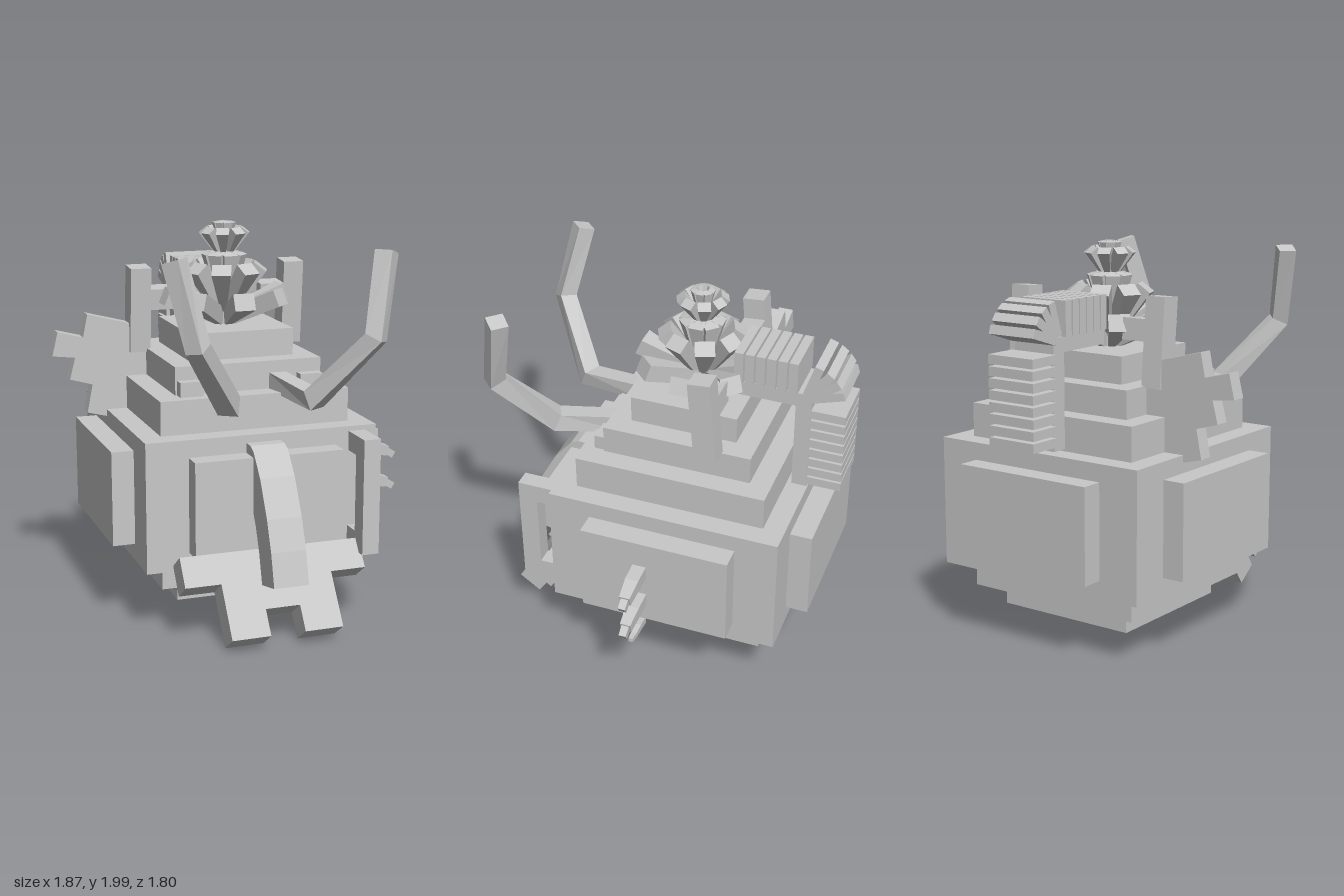
import * as THREE from 'three';

const CX = -0.04, CZ = -0.11; // centre of the stepped body

export function createModel() {
  const model = new THREE.Group();
  const stone = new THREE.MeshStandardMaterial({ color: 0xc8c8c8 });
  stone.name = 'grey stone';

  const add = (name, geometry, parent = model) => {
    const mesh = new THREE.Mesh(geometry, stone);
    mesh.name = name;
    parent.add(mesh);
    return mesh;
  };
  const group = (name) => {
    const g = new THREE.Group();
    g.name = name;
    model.add(g);
    return g;
  };
  const box = (name, x0, x1, y0, y1, z0, z1, parent) =>
    add(name, new THREE.BoxGeometry(x1 - x0, y1 - y0, z1 - z0)
      .translate((x0 + x1) / 2, (y0 + y1) / 2, (z0 + z1) / 2), parent);

  // Flat-sided beam through points; stations are { p, s: side direction, w, h }
  const beam = (stations) => {
    const pts = stations.map((q) => new THREE.Vector3(...q.p));
    const rings = stations.map((q, i) => {
      const t = pts[Math.min(i + 1, pts.length - 1)].clone().sub(pts[Math.max(i - 1, 0)]).normalize();
      const s = new THREE.Vector3(...q.s);
      s.addScaledVector(t, -s.dot(t)).normalize();
      const n = t.clone().cross(s);
      return [[-1, -1], [1, -1], [1, 1], [-1, 1]].map(([a, b]) =>
        pts[i].clone().addScaledVector(s, a * q.w / 2).addScaledVector(n, b * q.h / 2));
    });
    const out = [];
    const quad = (a, b, c, d) => [a, b, c, a, c, d].forEach((v) => out.push(v.x, v.y, v.z));
    for (let r = 0; r < rings.length - 1; r++) {
      for (let i = 0; i < 4; i++) {
        const j = (i + 1) % 4;
        quad(rings[r][i], rings[r][j], rings[r + 1][j], rings[r + 1][i]);
      }
    }
    const a = rings[0], b = rings[rings.length - 1];
    quad(a[0], a[3], a[2], a[1]);
    quad(b[0], b[1], b[2], b[3]);
    const g = new THREE.BufferGeometry();
    g.setAttribute('position', new THREE.Float32BufferAttribute(out, 3));
    g.computeVertexNormals();
    return g;
  };

  // Extruded outline, depth along +z before placing
  const plate = (points, depth) => new THREE.ExtrudeGeometry(
    new THREE.Shape(points.map(([x, y]) => new THREE.Vector2(x, y))),
    { depth, bevelEnabled: false });

  // Stepped body: half width, bottom, top
  const body = group('body');
  [[0.39, 0.09, 0.2], [0.5, 0.2, 0.33], [0.61, 0.33, 1.0], [0.5, 1.0, 1.175],
    [0.39, 1.175, 1.32], [0.28, 1.32, 1.46]].forEach(([r, y0, y1], i) =>
    box('bodyTier' + (i + 1), CX - r, CX + r, y0, y1, CZ - r, CZ + r, body));
  box('sidePanels', CX - 0.725, CX + 0.725, 0.42, 0.91, CZ - 0.39, CZ + 0.39, body);
  box('frontAndBackPanels', CX - 0.39, CX + 0.39, 0.42, 0.91, CZ - 0.725, CZ + 0.715, body);

  // Door handle on the front
  const handle = group('handle');
  box('handleBar', 0.42, 0.51, 0.375, 0.975, 0.6, 0.7, handle);
  box('handleLowerArm', 0.42, 0.51, 0.375, 0.475, 0.48, 0.6, handle);
  box('handleUpperArm', 0.42, 0.51, 0.875, 0.975, 0.48, 0.6, handle);

  // Curved nose
  const nose = plate([[0.5, 0.96], [0.56, 0.96], [0.605, 0.94], [0.7, 0.83], [0.8, 0.65],
    [0.86, 0.5], [0.905, 0.335], [0.735, 0.295], [0.69, 0.45], [0.64, 0.57], [0.56, 0.7], [0.5, 0.78]], 0.18);
  nose.rotateY(-Math.PI / 2).translate(CX + 0.09, 0, 0);
  add('nose', nose);

  // Sloping lower jaw with two teeth
  const jaw = plate([[-0.475, 0], [-0.475, -0.158], [-0.29, -0.158], [-0.29, -0.444], [-0.09, -0.444],
    [-0.09, -0.308], [0.09, -0.308], [0.09, -0.444], [0.29, -0.444], [0.29, -0.158],
    [0.475, -0.158], [0.475, 0]], 0.138);
  jaw.translate(0, 0, -0.138).rotateX(-Math.atan2(0.26, 0.36)).translate(CX, 0.44, 0.61);
  add('jaw', jaw);

  // Mirrored horns, brow blocks and back posts
  for (const m of [1, -1]) {
    const side = m > 0 ? 'left' : 'right';
    const station = (x, y, z, sz, w) => ({ p: [CX + m * x, y, z], s: [1, 0, -m * sz], w, h: w });
    add(side + 'Horn', beam([
      station(0.15, 1.215, 0.25, 0.2, 0.09),
      station(0.22, 1.185, 0.615, 0.6, 0.1),
      station(0.445, 1.52, 0.84, 1, 0.09),
      station(0.53, 1.92, 0.755, 1, 0.09),
    ]));
    const x = CX + m * 0.32;
    box(side + 'BrowBlock', x - 0.06, x + 0.06, 1.175, 1.25, 0.27, 0.335);

    const px = CX + m * 0.425, ax = CX + m * 0.31;
    const post = group(side + 'BackPost');
    post.position.set(0, 1.53, -0.275);
    post.rotation.x = 0.085;
    box('post', px - 0.055, px + 0.055, -0.225, 0.225, -0.057, 0.057, post);
    box('postArm', ax - 0.07, ax + 0.07, 0, 0.11, -0.057, 0.057, post);
  }

  // Crown of petals: inner radius/height, outer radius/height, widths, thickness, turn
  const crown = group('petalCrown');
  crown.position.set(CX, 0, CZ);
  [[0.03, 1.49, 0.325, 1.615, 0.03, 0.11, 0.09, 0],
    [0.03, 1.55, 0.19, 1.76, 0.03, 0.1, 0.08, 0.5],
    [0.03, 1.64, 0.085, 1.83, 0.04, 0.075, 0.06, 0],
    [0.02, 1.83, 0.11, 1.95, 0.02, 0.065, 0.05, 0.5],
    [0.015, 1.87, 0.045, 1.99, 0.02, 0.04, 0.03, 0]].forEach(([r0, y0, r1, y1, w0, w1, h, turn], k) => {
    for (let i = 0; i < 8; i++) {
      const petal = beam([{ p: [0, y0, r0], s: [1, 0, 0], w: w0, h }, { p: [0, y1, r1], s: [1, 0, 0], w: w1, h }]);
      add('petalRow' + (k + 1), petal.rotateY((i + turn) * Math.PI / 4), crown);
    }
  });
  add('crownCore', new THREE.CylinderGeometry(0.035, 0.06, 0.46, 8).toNonIndexed().translate(0, 1.68, 0), crown);

  // Bent spine behind the crown, covered with slats
  const spine = group('spine');
  box('spineTop', CX - 0.12, CX + 0.12, 1.5, 1.575, -0.72, -0.32, spine);
  box('spineBack', CX - 0.12, CX + 0.12, 1.02, 1.5, -0.72, -0.64, spine);
  const slat = (y, z, angle) => {
    const s = add('slat', new THREE.BoxGeometry(0.275, 0.046, 0.175).translate(0, 0, -0.0875), spine);
    s.position.set(CX, y, z);
    s.rotation.x = angle;
  };
  for (let i = 0; i < 6; i++) slat(1.575, -0.345 - i * 0.056, Math.PI / 2);
  for (let i = 1; i <= 4; i++) {
    const a = Math.PI / 2 * (1 - i / 5);
    slat(1.555 + 0.03 * Math.sin(a), -0.69 - 0.03 * Math.cos(a), a);
  }
  for (let i = 0; i < 8; i++) slat(1.07 + i * 0.058, -0.725, 0);

  // Stepped wing plate on the right side
  add('wingPlate', plate([[-0.935, 1.305], [-0.905, 1.43], [-0.77, 1.395], [-0.745, 1.515], [-0.42, 1.43],
    [-0.42, 0.91], [-0.6, 0.95], [-0.755, 0.99], [-0.725, 1.14], [-0.845, 1.175], [-0.815, 1.29]].reverse(), 0.08)
    .translate(0, 0, -0.335));

  // Jointed claws on the left side
  const claw = (points) => add('claw', beam(points.map(([x, y, w]) =>
    ({ p: [x, y, -0.037], s: [0, 0, 1], w, h: w }))));
  for (const y of [0.735, 0.555]) {
    claw([[0.66, y, 0.072], [0.78, y - 0.01, 0.07], [0.88, y - 0.038, 0.055]]);
    claw([[0.86, y - 0.028, 0.04], [0.92, y - 0.066, 0.038]]);
  }
  claw([[0.655, 0.382, 0.04], [0.72, 0.385, 0.038], [0.775, 0.375, 0.03], [0.82, 0.378, 0.022]]);

  return model;
}
